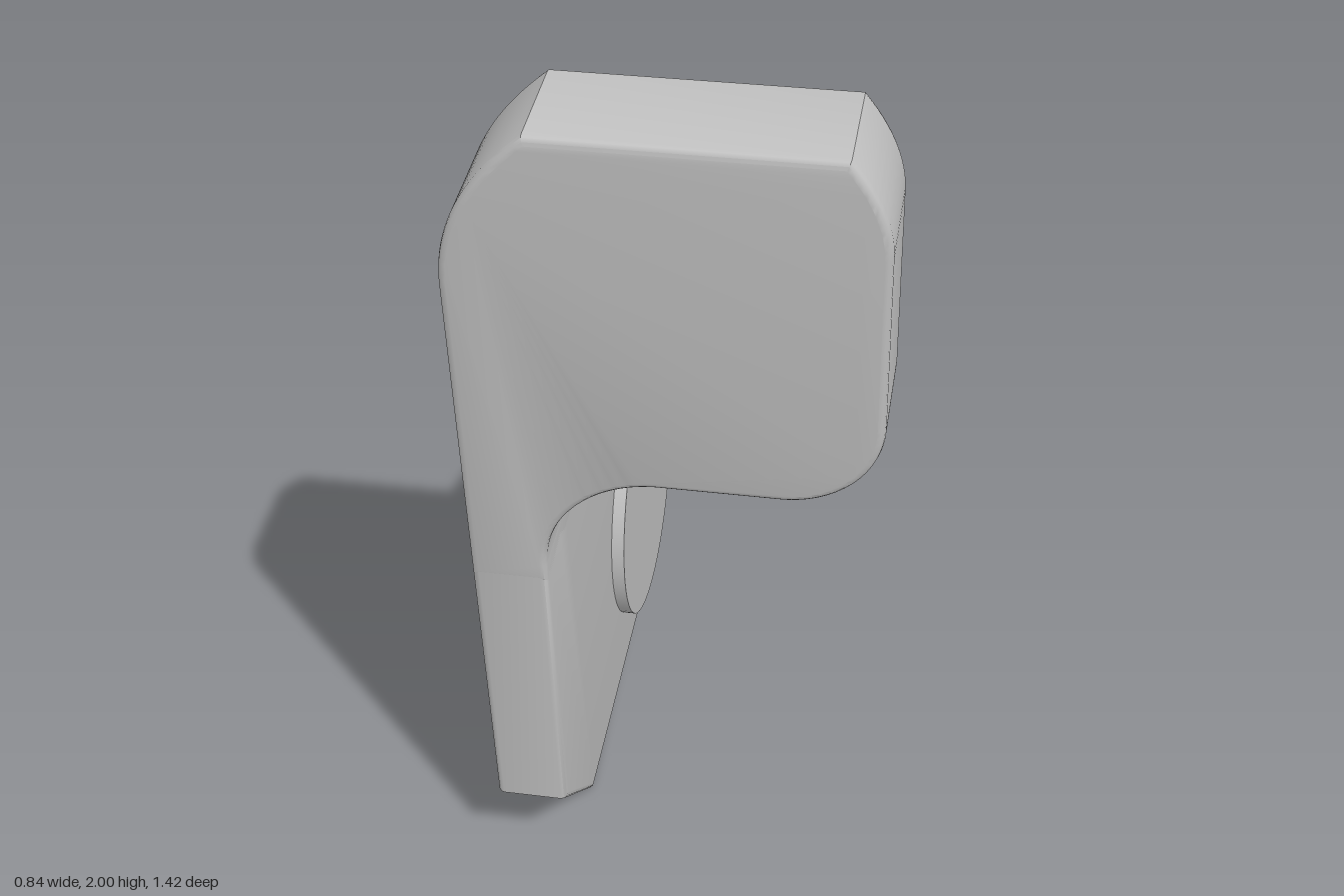
import * as THREE from 'three';
import { toCreasedNormals } from 'three/addons/utils/BufferGeometryUtils.js';

const EDGE = 0.015;

// Extrude a shape from z = 0 to z = depth with softly rounded edges.
function roundedPlate(shape, depth) {
  const geo = new THREE.ExtrudeGeometry(shape, {
    depth: depth - 2 * EDGE, curveSegments: 20,
    bevelEnabled: true, bevelThickness: EDGE, bevelSize: EDGE,
    bevelOffset: -EDGE, bevelSegments: 3,
  });
  geo.translate(0, 0, EDGE);
  return toCreasedNormals(geo, 0.6);
}

export function createModel() {
  const model = new THREE.Group();
  const grey = new THREE.MeshStandardMaterial({ color: 0xc0c0c0 });
  grey.name = 'plain grey';
  const add = (name, geo, parent = model) => {
    const mesh = new THREE.Mesh(geo, grey);
    mesh.name = name;
    parent.add(mesh);
    return mesh;
  };

  // Side arm, drawn with horizontal axis = -z, ending in a round lobe
  const arm = new THREE.Shape();
  arm.moveTo(-0.30, 0);
  arm.lineTo(0.345, 0.062);
  arm.absarc(0.31, 0.46, 0.4, -1.483, 1.42, false);
  arm.quadraticCurveTo(0.2, 0.89, 0.07, 1.0);
  arm.lineTo(-0.41, 1.4);
  arm.lineTo(-0.52, 1.4);
  arm.lineTo(-0.54, 1.1);
  arm.lineTo(-0.624, 0.99);
  arm.lineTo(-0.557, 0.22);
  arm.closePath();
  const armGeo = roundedPlate(arm, 0.16);
  armGeo.rotateY(Math.PI / 2);
  armGeo.translate(-0.42, 0, 0);
  add('sideArm', armGeo);

  // Raised round boss on the inner face of the arm
  const boss = new THREE.CylinderGeometry(0.32, 0.32, 0.05, 64);
  boss.rotateZ(Math.PI / 2);
  boss.translate(-0.255, 0.46, -0.31);
  add('roundBoss', boss);

  // Front panel, leaning forward; its local y runs up the front face
  const tilt = THREE.MathUtils.degToRad(5);
  const leaning = new THREE.Group();
  leaning.name = 'leaningPanel';
  leaning.position.set(0, 0.22, 0.557);
  leaning.rotation.x = tilt;
  model.add(leaning);
  const s = (y) => (y - 0.22) / Math.cos(tilt);

  const panel = new THREE.Shape();
  panel.moveTo(-0.42, s(0.9));
  panel.lineTo(-0.26, s(0.9));
  panel.lineTo(-0.26, s(0.945));
  panel.absarc(-0.02, s(1.187) - 0.24, 0.24, Math.PI, Math.PI / 2, true);
  panel.lineTo(0.22, s(1.187));
  panel.absarc(0.22, s(1.187) + 0.2, 0.2, -Math.PI / 2, 0, false);
  panel.lineTo(0.42, s(1.78));
  panel.quadraticCurveTo(0.42, s(1.88), 0.34, s(1.98));
  panel.lineTo(-0.24, s(1.98));
  panel.quadraticCurveTo(-0.42, s(1.83), -0.42, s(1.64));
  panel.closePath();
  const panelGeo = roundedPlate(panel, 0.245);
  panelGeo.translate(0, 0, -0.245);
  add('frontPanel', panelGeo, leaning);

  // Small concave fillet between the panel back and the arm
  const r = 0.035;
  const corner = new THREE.Shape();
  corner.moveTo(0, 0);
  corner.lineTo(r, 0);
  corner.absarc(r, r, r, -Math.PI / 2, -Math.PI, true);
  corner.closePath();
  const filletGeo = new THREE.ExtrudeGeometry(corner, {
    depth: 0.26, curveSegments: 8, bevelEnabled: false,
  });
  filletGeo.rotateX(-Math.PI / 2);
  filletGeo.translate(-0.26, s(1.1), -0.245);
  add('innerFillet', toCreasedNormals(filletGeo, 0.6), leaning);

  return model;
}
